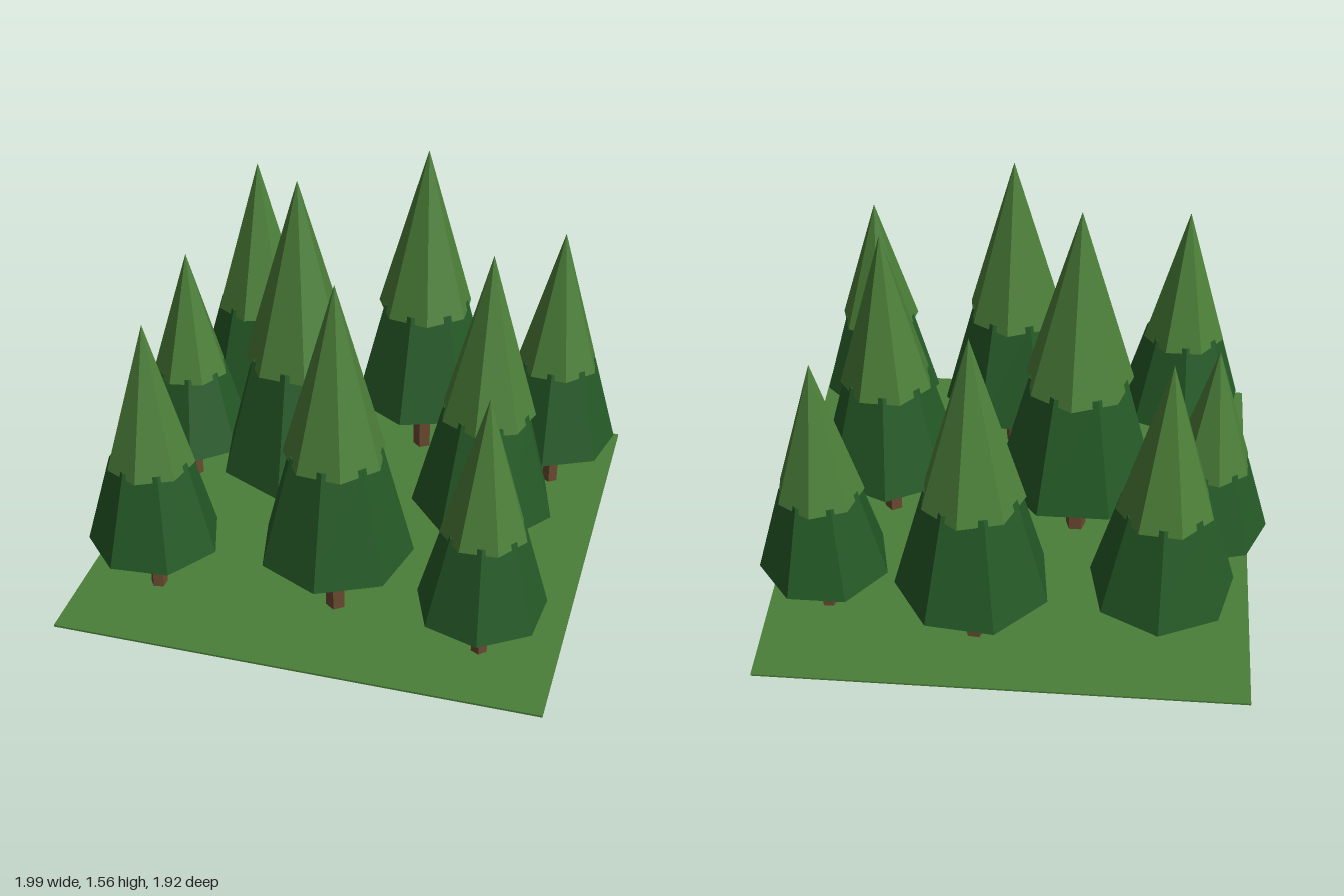
import * as THREE from 'three';

const flat = (name, color) => {
  const m = new THREE.MeshStandardMaterial({ color, flatShading: true });
  m.name = name;
  return m;
};

// x, z, height, lower foliage radius, turn in degrees
const TREES = [
  [-0.58, -0.60, 1.32, 0.286, 24.5],
  [0.14, -0.66, 1.44, 0.307, -6],
  [0.74, -0.54, 1.20, 0.260, 0],
  [-0.76, -0.18, 1.08, 0.240, 15],
  [-0.22, 0.00, 1.56, 0.335, 0],
  [0.56, 0.06, 1.38, 0.288, 28],
  [-0.64, 0.60, 1.20, 0.262, -21],
  [0.08, 0.54, 1.44, 0.302, 0],
  [0.68, 0.66, 1.14, 0.252, 8],
];

export function createModel() {
  const group = new THREE.Group();
  const grass = flat('grass green', 0x4a7f38);
  const light = flat('light foliage green', 0x4c8039);
  const dark = flat('dark foliage green', 0x255a27);
  const bark = flat('bark brown', 0x6b4a30);

  // Thin square of grass
  const ground = new THREE.Mesh(new THREE.BoxGeometry(1.92, 0.008, 1.92), grass);
  ground.name = 'ground';
  ground.position.set(0.02, 0.005, 0);
  group.add(ground);

  // Tapered prism standing between two heights
  const tier = (parent, name, material, rTop, rBottom, y0, y1, sides, turn) => {
    const mesh = new THREE.Mesh(new THREE.CylinderGeometry(rTop, rBottom, y1 - y0, sides), material);
    mesh.name = name;
    mesh.position.y = (y0 + y1) / 2;
    mesh.rotation.y = turn;
    parent.add(mesh);
  };

  for (const [x, z, h, r, degrees] of TREES) {
    const tree = new THREE.Group();
    tree.name = 'pineTree';
    tree.position.set(x, 0, z);
    const turn = THREE.MathUtils.degToRad(degrees);
    tier(tree, 'trunk', bark, h * 0.028, h * 0.028, 0, h * 0.24, 5, turn);
    tier(tree, 'lowerFoliage', dark, r * 0.6, r, h * 0.2, h * 0.52, 7, turn);
    tier(tree, 'upperFoliage', light, 0, r * 0.66, h * 0.5, h, 7, turn + 0.37);
    group.add(tree);
  }
  return group;
}
